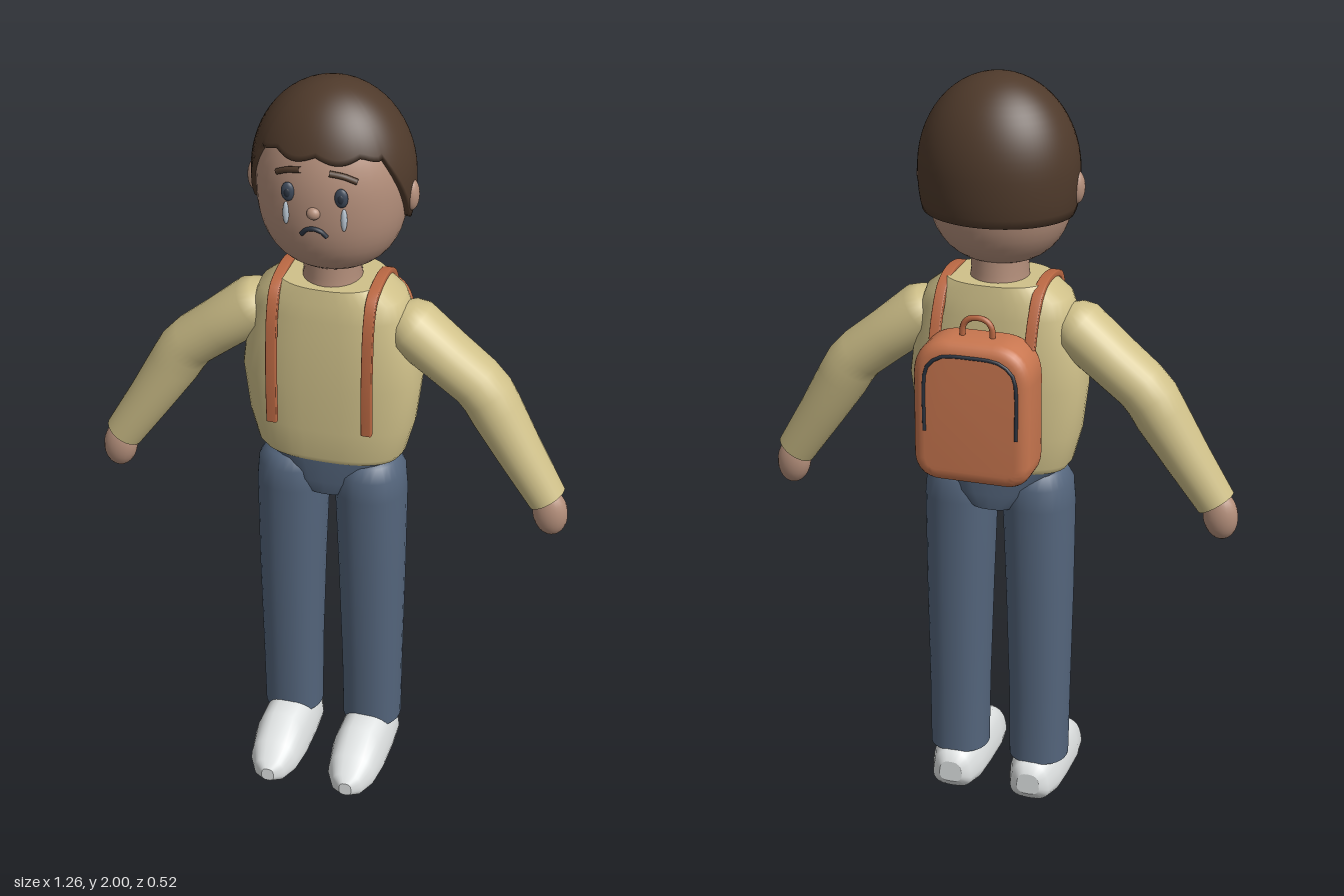
import * as THREE from 'three';
import { toCreasedNormals } from 'three/addons/utils/BufferGeometryUtils.js';
import { RoundedBoxGeometry } from 'three/addons/geometries/RoundedBoxGeometry.js';

const V = (x, y, z) => new THREE.Vector3(x, y, z);
const X = V(1, 0, 0), Y = V(0, 1, 0), Z = V(0, 0, 1);

function makeMaterials() {
  const colors = {
    skin: 0xb48f7b, hair: 0x4f3a2b, sweater: 0xd0c18a, jeans: 0x54657c, shoe: 0xdfe2e2,
    pack: 0xc8764f, strap: 0xba6843, dark: 0x2a323e, eye: 0x3d4858, tear: 0xb9c6d2,
  };
  const out = {};
  for (const name in colors) {
    out[name] = new THREE.MeshStandardMaterial({ color: colors[name] });
    out[name].name = name;
  }
  return out;
}

// Skin a stack of closed loops; optional flat caps with their own vertices
function skinRows(rows, caps = true) {
  const n = rows[0].length, pos = [], idx = [];
  rows.forEach((row) => row.forEach((p) => pos.push(p.x, p.y, p.z)));
  for (let i = 0; i < rows.length - 1; i++) {
    for (let j = 0; j < n; j++) {
      const k = (j + 1) % n, a = i * n + j, b = i * n + k;
      idx.push(a, a + n, b, b, a + n, b + n);
    }
  }
  if (caps) [rows[0], rows[rows.length - 1]].forEach((row, end) => {
    const base = pos.length / 3;
    const mid = row.reduce((s, p) => s.add(p), V(0, 0, 0)).divideScalar(n);
    [mid, ...row].forEach((p) => pos.push(p.x, p.y, p.z));
    for (let j = 0; j < n; j++) {
      const a = base + 1 + j, b = base + 1 + (j + 1) % n;
      if (end) idx.push(base, b, a); else idx.push(base, a, b);
    }
  });
  const g = new THREE.BufferGeometry();
  g.setAttribute('position', new THREE.Float32BufferAttribute(pos, 3));
  g.setIndex(idx);
  g.computeVertexNormals();
  return g;
}

// Superellipse sections [x, y, z, half u, half v]; axis null follows the path
function loft(sections, { axis = null, v = Z, power = 2, n = 28, warp = (p) => p } = {}) {
  const c = sections.map((s) => V(s[0], s[1], s[2]));
  const bend = (q) => Math.sign(q) * Math.abs(q) ** (2 / power);
  return skinRows(sections.map((s, i) => {
    const t = axis ? axis.clone()
      : c[Math.min(i + 1, c.length - 1)].clone().sub(c[Math.max(i - 1, 0)]).normalize();
    const u = t.clone().cross(v).normalize();
    return Array.from({ length: n }, (_, j) => {
      const a = (j / n) * Math.PI * 2;
      return warp(c[i].clone().addScaledVector(u, s[3] * bend(Math.cos(a)))
        .addScaledVector(v, s[4] * bend(Math.sin(a))));
    });
  }));
}

// Round crown above, fuller cheeks and jaw below (t from -1 to 1)
const skull = (t) => { const p = t > 0 ? 2 : 2.5; return Math.max(0, 1 - Math.abs(t) ** p) ** (1 / p); };
const HEAD = { y: 1.74, rx: 0.19, ry: 0.228, rz: 0.165 };
const faceZ = (x, y) => HEAD.rz * Math.sqrt(Math.max(0, skull((y - HEAD.y) / HEAD.ry) ** 2 - (x / HEAD.rx) ** 2));

function hairGeometry() {
  const n = 96, rows = [], cy = 1.757, ry = 0.241;
  const hairline = (az) => {
    const d = Math.abs(az) * 180 / Math.PI;
    if (d < 52) return 1.862 - 0.016 * Math.abs(Math.sin(az * 5.2));
    return d < 82 ? THREE.MathUtils.mapLinear(d, 52, 82, 1.855, 1.67) : Math.max(1.65, 1.67 - (d - 82) * 0.002);
  };
  for (let k = 0; k <= 21; k++) {
    rows.push(Array.from({ length: n }, (_, j) => {
      const az = (j / n) * Math.PI * 2, line = hairline(az > Math.PI ? az - Math.PI * 2 : az);
      const t = Math.cos(Math.max(0.005, Math.acos((line - cy) / ry) * Math.min(k, 20) / 20));
      const r = skull(t) * (k > 20 ? 0.88 : 1);
      return V(0.206 * r * Math.sin(az), cy + ry * t, -0.012 + 0.179 * r * Math.cos(az));
    }));
  }
  return skinRows(rows, false);
}

export function createModel() {
  const root = new THREE.Group(), m = makeMaterials();
  root.name = 'boyWithBackpack';
  const add = (name, geometry, material, parent = root) => {
    const mesh = new THREE.Mesh(geometry, material);
    mesh.name = name;
    parent.add(mesh);
    return mesh;
  };
  const ball = (name, material, p, s, parent) => {
    const b = add(name, new THREE.SphereGeometry(1, 20, 14), material, parent);
    b.position.set(...p);
    b.scale.set(...s);
    return b;
  };
  const tube = (name, material, pts, r, parent) =>
    add(name, new THREE.TubeGeometry(new THREE.CatmullRomCurve3(pts, false, 'centripetal'), 24, r, 8), material, parent);

  // Head, neck and hair
  const head = new THREE.Group();
  head.name = 'head';
  root.add(head);
  add('face', loft(Array.from({ length: 25 }, (_, i) => {
    const t = -Math.cos(Math.PI * (i + 0.08) / 24.16), r = skull(t);
    return [0, HEAD.y + HEAD.ry * t, 0, HEAD.rx * r, HEAD.rz * r];
  }), { axis: Y, n: 40 }), m.skin, head);
  add('neck', loft([[0, 1.45, -0.003, 0.08, 0.085], [0, 1.49, -0.003, 0.073, 0.078], [0, 1.56, 0, 0.075, 0.08]],
    { axis: Y }), m.skin, head);
  add('hair', hairGeometry(), m.hair, head).material.side = THREE.DoubleSide;

  // Face details
  ball('nose', m.skin, [0, 1.722, 0.166], [0.017, 0.016, 0.014], head);
  tube('mouth', m.dark, [[-0.032, 1.66], [-0.018, 1.675], [0, 1.68], [0.018, 1.675], [0.032, 1.66]]
    .map(([x, y]) => V(x, y, faceZ(x, y) + 0.002)), 0.006, head);
  for (const s of [-1, 1]) {
    ball('ear', m.skin, [s * 0.199, 1.72, -0.003], [0.02, 0.042, 0.024], head);
    ball('eye', m.eye, [s * 0.067, 1.767, faceZ(0.067, 1.767) + 0.002], [0.017, 0.025, 0.01], head);
    ball('pupil', m.dark, [s * 0.067, 1.767, faceZ(0.067, 1.767) + 0.007], [0.009, 0.014, 0.007], head);
    ball('tear', m.tear, [s * 0.073, 1.708, faceZ(0.073, 1.708) + 0.001], [0.008, 0.03, 0.007], head);
    tube('eyebrow', m.hair, [[0.1, 1.806], [0.07, 1.82], [0.036, 1.827]]
      .map(([x, y]) => V(s * x, y, faceZ(x, y) + 0.003)), 0.008, head);
  }

  // Sweater body and hips: y, half width, half depth
  add('sweater', loft([
    [0.968, 0.183, 0.1], [0.985, 0.195, 0.11], [1.07, 0.218, 0.118], [1.2, 0.234, 0.122], [1.3, 0.222, 0.121],
    [1.39, 0.203, 0.117], [1.435, 0.187, 0.112], [1.475, 0.135, 0.105],
  ].map(([y, a, b]) => [0, y, -0.006, a, b]), { axis: Y, power: 2.5, n: 40 }), m.sweater);
  add('hips', loft([[0, 0.857, -0.012, 0.07, 0.088], [0, 0.9, -0.01, 0.12, 0.098], [0, 0.975, -0.008, 0.175, 0.1]],
    { axis: Y, power: 2.6 }), m.jeans);

  for (const s of [-1, 1]) {
    const side = s > 0 ? 'left' : 'right';

    // Arm: rounded shoulder, bent elbow, cuff, hand
    add(side + 'Sleeve', loft([
      [0.163, 1.39, -0.005, 0.03, 0.035], [0.18, 1.376, -0.005, 0.058, 0.066], [0.205, 1.354, -0.005, 0.074, 0.083],
      [0.3, 1.277, -0.007, 0.07, 0.079], [0.375, 1.217, -0.009, 0.069, 0.075], [0.405, 1.183, -0.009, 0.07, 0.074],
      [0.43, 1.14, -0.008, 0.069, 0.072], [0.5, 1.027, 0, 0.06, 0.062], [0.575, 0.911, 0.008, 0.052, 0.05],
    ].map(([x, ...rest]) => [s * x, ...rest])), m.sweater);
    ball(side + 'Hand', m.skin, [s * 0.586, 0.874, 0.015], [0.046, 0.066, 0.037]).rotation.z = s * 0.12;

    // Trouser leg
    add(side + 'Leg', loft([
      [0.112, 0.108, -0.008, 0.079, 0.077], [0.112, 0.3, -0.004, 0.081, 0.083], [0.11, 0.6, -0.001, 0.088, 0.094],
      [0.106, 0.86, 0, 0.094, 0.101], [0.105, 0.92, 0, 0.09, 0.098], [0.105, 0.955, 0, 0.07, 0.08],
      [0.105, 0.97, 0, 0.035, 0.045],
    ].map(([x, ...rest]) => [s * x, ...rest]), { axis: Y, power: 2.2 }), m.jeans);

    // Shoe: z, half width, bottom, top; sides lean in towards the top
    add(side + 'Shoe', loft([
      [-0.105, 0.035, 0.025, 0.085], [-0.09, 0.06, 0.004, 0.11], [-0.04, 0.08, 0, 0.135], [0.03, 0.085, 0, 0.145],
      [0.13, 0.085, 0, 0.145], [0.2, 0.07, 0, 0.102], [0.24, 0.045, 0.002, 0.068], [0.258, 0.018, 0.012, 0.05],
    ].map(([z, w, lo, hi]) => [s * 0.11, (lo + hi) / 2, z, w, (hi - lo) / 2]), {
      axis: Z, v: Y, power: 2.8, n: 24,
      warp: (p) => p.setX(s * 0.11 + (p.x - s * 0.11) * (1.03 - 2.6 * p.y)),
    }), m.shoe);

    // Shoulder strap over the sweater, from chest to pack
    const strap = new THREE.CatmullRomCurve3([
      [1.09, 0.122], [1.2, 0.126], [1.3, 0.123], [1.4, 0.111], [1.455, 0.085], [1.473, 0.03],
      [1.473, -0.04], [1.452, -0.09], [1.4, -0.128], [1.335, -0.155],
    ].map(([y, z]) => V(s * 0.125, y, z)));
    add(side + 'Strap', loft(strap.getPoints(36).map((p) => [p.x, p.y, p.z, 0.009, 0.014]),
      { v: X, power: 6, n: 16 }), m.strap);
  }

  // Backpack with arched top
  const pack = new THREE.Group();
  pack.name = 'backpack';
  root.add(pack);
  const shape = new THREE.Shape();
  shape.moveTo(-0.085, 1.025).lineTo(0.085, 1.025).quadraticCurveTo(0.12, 1.025, 0.12, 1.06)
    .lineTo(0.12, 1.27).quadraticCurveTo(0.12, 1.337, 0.055, 1.337)
    .lineTo(-0.055, 1.337).quadraticCurveTo(-0.12, 1.337, -0.12, 1.27)
    .lineTo(-0.12, 1.06).quadraticCurveTo(-0.12, 1.025, -0.085, 1.025);
  const body = new THREE.ExtrudeGeometry(shape, {
    depth: 0.066, bevelThickness: 0.035, bevelSize: 0.035, bevelSegments: 6, curveSegments: 10,
  });
  add('packBody', toCreasedNormals(body, 0.7), m.pack, pack).position.z = -0.221;
  add('packBackPanel', new RoundedBoxGeometry(0.24, 0.3, 0.05, 3, 0.02), m.pack, pack).position.set(0, 1.18, -0.125);
  tube('zipper', m.dark, [[-0.12, 1.13], [-0.12, 1.26], [-0.113, 1.3], [-0.08, 1.33], [0, 1.337],
    [0.08, 1.33], [0.113, 1.3], [0.12, 1.26], [0.12, 1.13]].map(([x, y]) => V(x, y, -0.255)), 0.005, pack);
  tube('handle', m.strap, [[-0.04, 1.36], [-0.036, 1.4], [-0.018, 1.417], [0.018, 1.417], [0.036, 1.4], [0.04, 1.36]]
    .map(([x, y]) => V(x, y, -0.19)), 0.008, pack);

  return root;
}
